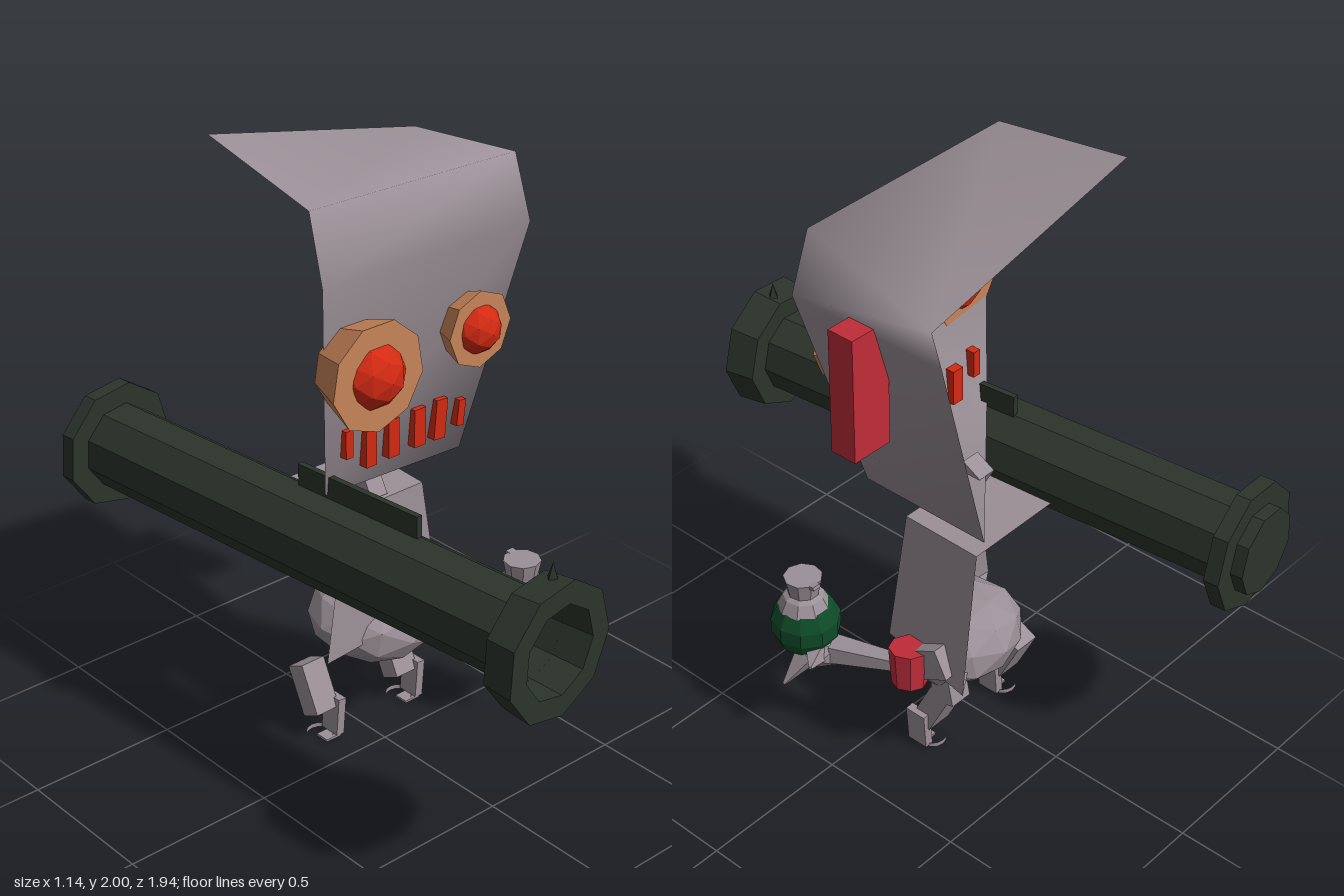
import * as THREE from 'three';

const mat = (name, color) => {
  const m = new THREE.MeshStandardMaterial({ color, side: THREE.DoubleSide });
  m.name = name;
  return m;
};

export function createModel() {
  const grey = mat('grey metal', 0x9b9097);
  const gunGreen = mat('dark gun green', 0x2b342b);
  const eyeRed = mat('eye red', 0xd42a12);
  const orange = mat('socket orange', 0xc78458);
  const earRed = mat('ear red', 0xc02c39);
  const green = mat('grenade green', 0x0e4a28);

  const root = new THREE.Group();
  const flat = (g) => {
    const f = g.index ? g.toNonIndexed() : g;
    f.computeVertexNormals();
    return f;
  };
  const add = (name, geo, material, pos = [0, 0, 0], rot = [0, 0, 0], parent = root) => {
    const m = new THREE.Mesh(geo, material);
    m.name = name;
    m.position.set(...pos);
    m.rotation.set(...rot);
    parent.add(m);
    return m;
  };
  const box = (name, size, material, pos, rot, parent) =>
    add(name, new THREE.BoxGeometry(...size), material, pos, rot, parent);
  // tapered rod between two points
  const rod = (name, a, b, r0, r1, sides, material) => {
    const p = new THREE.Vector3(...a), q = new THREE.Vector3(...b), d = q.clone().sub(p);
    const m = add(name, flat(new THREE.CylinderGeometry(r1, r0, d.length(), sides)), material);
    m.position.copy(p).add(q).multiplyScalar(0.5);
    m.quaternion.setFromUnitVectors(new THREE.Vector3(0, 1, 0), d.normalize());
    return m;
  };

  // Open shell: front wall, left-hand wall, roof and half a floor.
  // Each row runs front right, front left, back left; the last point is the rear roof corner.
  const shell = (rows, roofCorner) => {
    const n = rows.length, t = (n - 1) * 3, index = [0, 2, 1];
    for (let r = 0; r < n - 1; r++)
      for (let c = 0; c < 2; c++) {
        const a = r * 3 + c;
        index.push(a, a + 1, a + 4, a, a + 4, a + 3);
      }
    index.push(t, t + 1, t + 2, t, t + 2, n * 3);
    const g = new THREE.BufferGeometry();
    g.setAttribute('position', new THREE.Float32BufferAttribute([...rows.flat(2), ...roofCorner], 3));
    g.setIndex(index);
    g.computeVertexNormals();
    return g;
  };

  // Head and torso
  add('head', shell([
    [[-0.27, 1.0, 0.04], [0.27, 0.98, 0.04], [0.27, 0.98, -0.42]],
    [[-0.32, 1.69, 0.1], [0.48, 1.69, 0.11], [0.48, 1.69, -0.445]],
    [[-0.34, 1.92, 0.07], [0.45, 1.905, 0.07], [0.525, 1.83, -0.45]],
  ], [-0.3, 2.0, -0.43]), grey);
  add('torso', flat(shell([
    [[-0.22, 0.365, -0.02], [0.25, 0.4, -0.02], [0.29, 0.37, -0.36]],
    [[-0.12, 0.845, -0.05], [0.2, 0.845, -0.05], [0.21, 0.85, -0.34]],
  ], [-0.13, 0.855, -0.34])), grey);
  box('neck', [0.065, 0.2, 0.075], grey, [0.03, 0.92, -0.14], [-0.5, 0, 0]);

  // Belly
  const belly = new THREE.IcosahedronGeometry(1, 1);
  belly.scale(0.215, 0.14, 0.2);
  add('belly', flat(belly), grey, [0.075, 0.375, -0.15], [0.12, 0, -0.12]);

  // Eyes: flared sockets with faceted balls
  const eye = (x, r, back, front, ballR, ballZ, sides) => {
    const socket = new THREE.CylinderGeometry(r, r * 0.76, front - back, sides);
    socket.rotateX(Math.PI / 2);
    add('eyeSocket', flat(socket), orange, [x, 1.42, (front + back) / 2]);
    add('eyeball', flat(new THREE.IcosahedronGeometry(ballR, 1)), eyeRed, [x, 1.42, ballZ]);
  };
  eye(-0.2, 0.172, 0.07, 0.2, 0.112, 0.15, 9);
  eye(0.245, 0.124, 0.06, 0.15, 0.085, 0.12, 8);

  // Teeth: x, centre height, width, height, tilt
  for (const [x, y, w, h, tilt] of [
    [-0.205, 1.16, 0.028, 0.09, 0], [-0.12, 1.12, 0.042, 0.12, 0],
    [-0.032, 1.125, 0.042, 0.125, 0], [0.073, 1.125, 0.045, 0.125, 0],
    [0.158, 1.125, 0.045, 0.13, -0.09], [0.242, 1.12, 0.028, 0.085, -0.12],
  ]) box('tooth', [w, h, 0.05], eyeRed, [x, y, 0.052], [0, 0, tilt]);

  box('ear', [0.14, 0.4, 0.09], earRed, [0.502, 1.52, -0.163]);

  // Legs with hooked feet
  for (const [x, side] of [[-0.145, 1], [0.195, 1]]) {
    box('leg', [0.09, 0.17, 0.075], grey, [x, 0.175, -0.18], [-0.45, 0, 0]);
    box('ankle', [0.03, 0.13, 0.075], grey, [x + 0.045 * side, 0.078, -0.135], [0, 0, -0.08]);
    add('footClaw', new THREE.CylinderGeometry(0.045, 0.045, 0.016, 8, 1, true, 0, Math.PI * 1.2),
      grey, [x + 0.0 * side, 0.012, -0.15], [0, 0.3, 0]);
    box('sole', [0.06, 0.008, 0.05], grey, [x + 0.015, 0.01, -0.125]);
  }
  box('hip', [0.08, 0.16, 0.08], grey, [0.2, 0.31, -0.22], [0.2, 0, 0]);

  // Arm with cuff and clawed hand
  box('shoulder', [0.07, 0.1, 0.14], grey, [0.27, 0.42, -0.22], [0.5, 0, 0]);
  rod('cuff', [0.31, 0.325, -0.16], [0.3, 0.452, -0.152], 0.056, 0.066, 8, earRed);
  rod('forearm', [0.3, 0.375, -0.14], [0.37, 0.345, 0.1], 0.028, 0.05, 5, grey);
  add('palm', flat(new THREE.IcosahedronGeometry(0.06, 0)), grey, [0.39, 0.335, 0.13]);
  for (const [tip, base] of [
    [[0.3, 0.25, 0.2], [0.36, 0.34, 0.15]], [[0.4, 0.27, 0.26], [0.4, 0.33, 0.15]],
    [[0.52, 0.25, 0.18], [0.44, 0.34, 0.15]], [[0.5, 0.36, 0.08], [0.42, 0.35, 0.13]],
  ]) rod('finger', base, tip, 0.045, 0.006, 4, grey);

  // Grenade
  add('grenadeBody', flat(new THREE.SphereGeometry(0.113, 10, 7)), green, [0.395, 0.42, 0.2]);
  const cap = [[0, 0.49], [0.085, 0.49], [0.065, 0.53], [0.05, 0.54], [0.062, 0.6], [0, 0.6]];
  add('grenadeCap', flat(new THREE.LatheGeometry(cap.map((p) => new THREE.Vector2(...p)), 9)),
    grey, [0.4, 0, 0.2]);
  box('grenadeLever', [0.03, 0.012, 0.1], grey, [0.41, 0.59, 0.18], [0.15, 0, 0]);

  // Shoulder cannon, turned about one closed profile along its own z axis
  const gun = new THREE.Group();
  gun.name = 'cannon';
  gun.position.set(-0.285, 0.855, 0);
  gun.rotation.y = 0.09;
  root.add(gun);
  const profile = [
    [0, -0.965], [0.14, -0.965], [0.14, -0.925], [0.208, -0.925], [0.208, -0.875], [0.14, -0.875],
    [0.14, 0.845], [0.205, 0.845], [0.216, 0.95], [0.145, 0.95], [0.115, 0.3], [0, 0.3],
  ];
  const tube = new THREE.LatheGeometry(profile.map((p) => new THREE.Vector2(...p)), 9);
  tube.rotateX(Math.PI / 2);
  add('cannonTube', flat(tube), gunGreen, [0, 0, 0], [0, 0, 0.1], gun);
  box('cannonRail', [0.02, 0.1, 0.48], gunGreen, [0.03, 0.155, 0.16], [0, 0, 0], gun);
  add('frontSight', flat(new THREE.ConeGeometry(0.022, 0.06, 4)), gunGreen, [0.03, 0.22, 0.89], [0, 0, 0], gun);
  add('loadedTip', flat(new THREE.ConeGeometry(0.07, 0.14, 5)), grey, [0, -0.02, 0.37],
    [Math.PI / 2, 0, 0], gun);

  return root;
}
